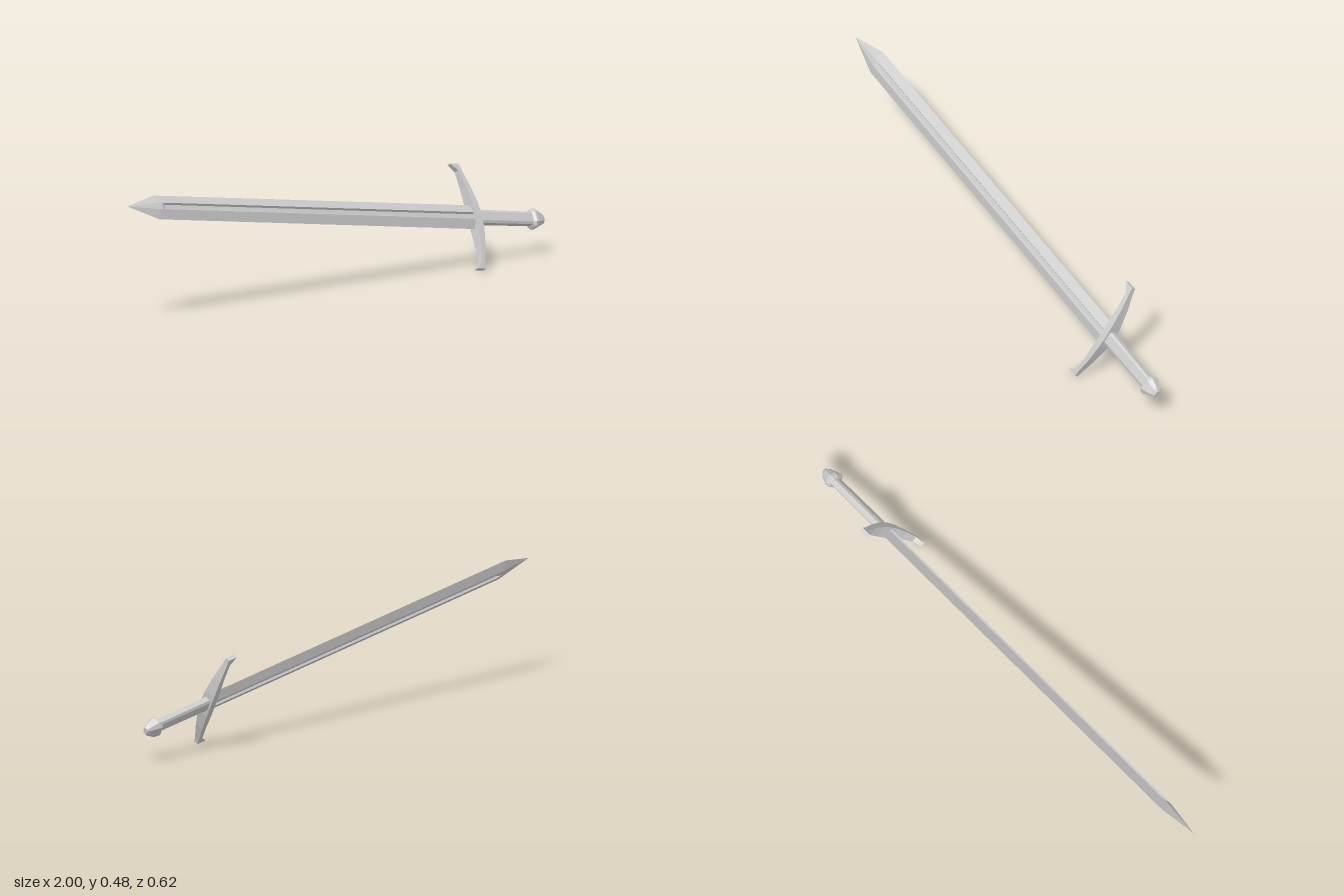
import * as THREE from 'three';

const material = new THREE.MeshStandardMaterial({ color: 0xcccccc, flatShading: true });

// Skin a row of rings (arrays of [x, y, z]) and cap both ends
function loft(name, rings) {
  const pos = [];
  const tri = (...corners) => corners.forEach((p) => pos.push(...p));
  const n = rings[0].length;
  for (let r = 0; r < rings.length - 1; r++) {
    for (let i = 0; i < n; i++) {
      const j = (i + 1) % n;
      const a = rings[r][i], b = rings[r][j], c = rings[r + 1][j], d = rings[r + 1][i];
      tri(a, d, c);
      tri(a, c, b);
    }
  }
  const first = rings[0], last = rings[rings.length - 1];
  for (let i = 1; i < n - 1; i++) {
    tri(first[0], first[i], first[i + 1]);
    tri(last[0], last[i + 1], last[i]);
  }
  const geometry = new THREE.BufferGeometry();
  geometry.setAttribute('position', new THREE.Float32BufferAttribute(pos, 3));
  geometry.computeVertexNormals();
  const mesh = new THREE.Mesh(geometry, material);
  mesh.name = name;
  return mesh;
}

// Flattened diamond with a groove on each face; floor is the groove's half thickness
function bladeRing(y, halfWidth, ridge, floor) {
  const k = halfWidth / 0.048;
  const face = [[0.013 * k, ridge], [0.008 * k, floor], [-0.008 * k, floor], [-0.013 * k, ridge]];
  return [
    [halfWidth, y, 0],
    ...face.map(([x, z]) => [x, y, z]),
    [-halfWidth, y, 0],
    ...face.map(([x, z]) => [-x, y, -z]),
  ];
}

// Rectangle with chamfered corners
function chamferRing(y, a, b, cut) {
  const p = a * (1 - cut), q = b * (1 - cut);
  return [[a, -q], [a, q], [p, b], [-p, b], [-a, q], [-a, -q], [-p, -b], [p, -b]]
    .map(([x, z]) => [x, y, z]);
}

export function createModel() {
  const sword = new THREE.Group();
  sword.name = 'sword';

  // Blade: x is its width, y runs to the tip, z is its thickness
  sword.add(loft('blade', [
    bladeRing(0, 0.048, 0.0165, 0.009),
    bladeRing(1.58, 0.048, 0.0165, 0.009),
    bladeRing(1.6, 0.048, 0.0165, 0.0165),
    bladeRing(1.618, 0.048, 0.0155, 0.0155),
    bladeRing(1.765, 0, 0, 0),
  ]));

  // Crossguard: [x, low y, high y, half depth], bowed to the tip and hooked at the ends
  const half = [
    [0.05, -0.014, 0.013, 0.024],
    [0.12, -0.003, 0.019, 0.0175],
    [0.185, 0.013, 0.031, 0.011],
    [0.2, 0.016, 0.048, 0.0095],
    [0.212, 0.017, 0.06, 0.0085],
  ];
  const mirrored = half.map(([x, ...rest]) => [-x, ...rest]).reverse();
  const stations = [...mirrored, [0, -0.017, 0.012, 0.025], ...half];
  sword.add(loft('crossguard', stations.map(([x, lo, hi, d]) =>
    [[x, lo, d], [x, hi, d], [x, hi, -d], [x, lo, -d]])));

  // Grip
  sword.add(loft('grip', [
    chamferRing(-0.3, 0.025, 0.016, 0.35),
    chamferRing(-0.008, 0.027, 0.017, 0.35),
  ]));

  // Pommel
  sword.add(loft('pommel', [
    chamferRing(-0.348, 0.012, 0.009, 0.45),
    chamferRing(-0.338, 0.02, 0.017, 0.45),
    chamferRing(-0.302, 0.036, 0.029, 0.45),
    chamferRing(-0.289, 0.037, 0.03, 0.45),
    chamferRing(-0.281, 0.027, 0.02, 0.4),
  ]));

  // Lay the sword on its slanted axis, turned about its length
  const along = new THREE.Vector3(-0.9455, 0.159, 0.2855).normalize();
  const across = new THREE.Vector3(-0.008, 0.846, -0.533);
  across.addScaledVector(along, -across.dot(along)).normalize();
  const normal = new THREE.Vector3().crossVectors(across, along);
  sword.quaternion.setFromRotationMatrix(new THREE.Matrix4().makeBasis(across, along, normal));
  sword.position.set(0.669, 0.184, -0.189);

  const model = new THREE.Group();
  model.name = 'model';
  model.add(sword);
  return model;
}
